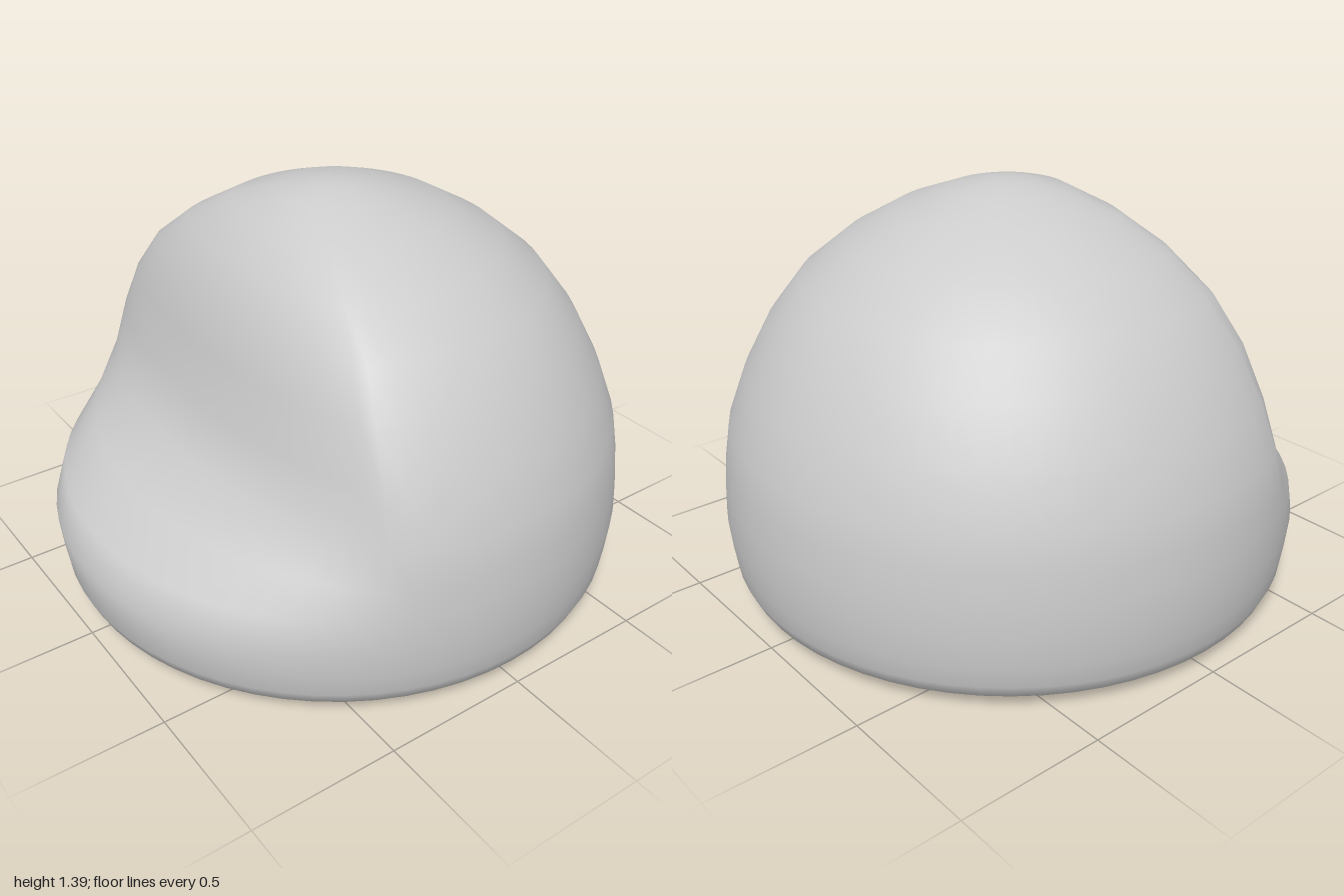
import * as THREE from 'three';
import { mergeVertices } from 'three/addons/utils/BufferGeometryUtils.js';

// Rings of the dome: [height, radius, reach of the carved front]
const RINGS = [
  [0, 0, 0], [0.015, 0.5, 0.5], [0.03, 0.91, 0.91], [0.055, 0.96, 0.96],
  [0.1, 0.98, 0.98], [0.17, 0.99, 0.99], [0.27, 1, 1], [0.38, 0.995, 0.95],
  [0.48, 0.985, 0.79], [0.6, 0.965, 0.635], [0.76, 0.905, 0.56],
  [0.93, 0.815, 0.52], [1.08, 0.7, 0.47], [1.2, 0.55, 0.4],
  [1.295, 0.38, 0.3], [1.36, 0.2, 0.19], [1.385, 0.08, 0.08], [1.39, 0, 0],
];

function carvedDome() {
  const profile = RINGS.map(([y, r]) => new THREE.Vector2(r, y));
  const geometry = new THREE.LatheGeometry(profile, 64);
  const pos = geometry.attributes.position;

  // Press the front inward: beyond a start depth, z is squeezed to the ring's reach
  for (let i = 0; i < pos.count; i++) {
    const [, radius, reach] = RINGS[i % RINGS.length];
    const start = Math.min(0.38, 0.7 * reach);
    const z = pos.getZ(i);
    if (reach < radius && z > start) {
      pos.setZ(i, start + (z - start) * (reach - start) / (radius - start));
    }
  }

  // Weld the seam and poles for continuous smooth shading
  geometry.deleteAttribute('uv');
  geometry.deleteAttribute('normal');
  const welded = mergeVertices(geometry, 1e-4);
  welded.computeVertexNormals();
  return welded;
}

export function createModel() {
  const group = new THREE.Group();
  group.name = 'carvedDome';
  const material = new THREE.MeshStandardMaterial({ color: 0xcccccc });
  const body = new THREE.Mesh(carvedDome(), material);
  body.name = 'domeBody';
  group.add(body);
  return group;
}
